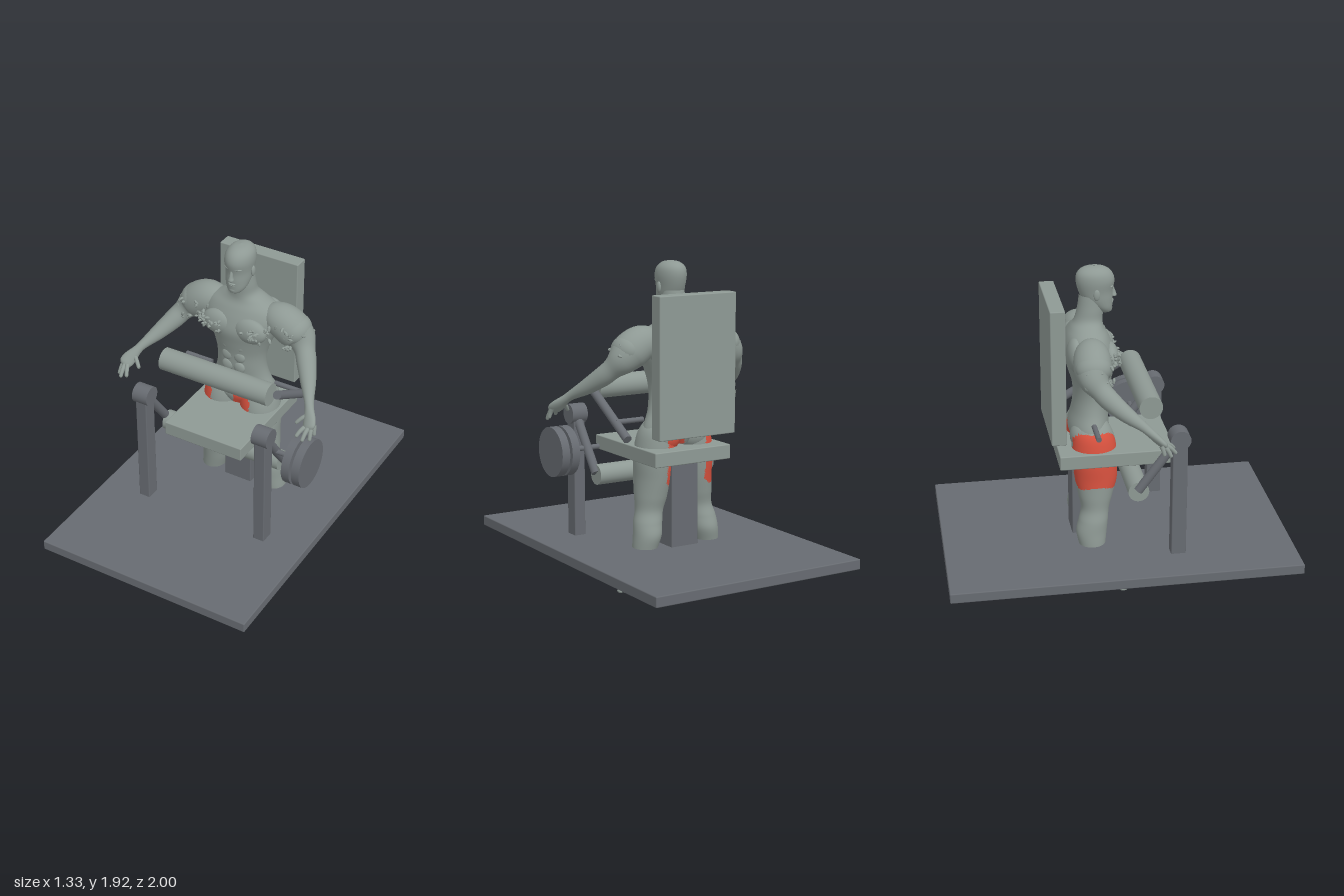
import * as THREE from 'three';
import { RoundedBoxGeometry } from 'three/addons/geometries/RoundedBoxGeometry.js';

const V = (x, y, z) => new THREE.Vector3(x, y, z);

function material(name, color) {
  const m = new THREE.MeshStandardMaterial({ color });
  m.name = name;
  return m;
}

// Highlighted thigh muscle: two bands with rounded tops and bottoms
const BANDS = [[-0.25, -0.14], [-0.005, 0.112]];
function isMuscle(x, y) {
  return BANDS.some(([lo, hi]) => {
    const d = x - (lo + hi) / 2;
    return x > lo && x < hi && y < 0.99 - 14 * d * d && y > 0.65 + 10 * d * d;
  });
}

// Sort triangles into a skin group and a muscle group
function splitGroups(geo) {
  const p = geo.attributes.position, idx = geo.index.array, sets = [[], []];
  for (let i = 0; i < idx.length; i += 3) {
    const t = [idx[i], idx[i + 1], idx[i + 2]];
    const x = t.reduce((s, k) => s + p.getX(k), 0) / 3;
    const y = t.reduce((s, k) => s + p.getY(k), 0) / 3;
    sets[isMuscle(x, y) ? 1 : 0].push(...t);
  }
  geo.setIndex([...sets[0], ...sets[1]]);
  geo.addGroup(0, sets[0].length, 0);
  geo.addGroup(sets[0].length, sets[1].length, 1);
  return geo;
}

// Smooth skin through elliptical sections [x, y, z, ra, rb]; rb lies along ref
function loft(sections, { ref = V(0, 0, 1), axis = null, steps = 5, sides = 28 } = {}) {
  const path = new THREE.CatmullRomCurve3(sections.map(s => V(s[0], s[1], s[2])), false, 'catmullrom');
  const radii = new THREE.CatmullRomCurve3(sections.map(s => V(s[3], s[4] ?? s[3], 0)), false, 'catmullrom');
  const n = (sections.length - 1) * steps, pos = [], idx = [];
  for (let i = 0; i <= n; i++) {
    const c = path.getPoint(i / n), r = radii.getPoint(i / n);
    const t = axis ?? path.getTangent(i / n);
    const v = ref.clone().addScaledVector(t, -ref.dot(t)).normalize();
    const u = t.clone().cross(v);
    for (let j = 0; j < sides; j++) {
      const a = j / sides * Math.PI * 2;
      const q = c.clone().addScaledVector(u, r.x * Math.cos(a)).addScaledVector(v, r.y * Math.sin(a));
      pos.push(q.x, q.y, q.z);
      if (i === n) continue;
      const A = i * sides + j, B = i * sides + (j + 1) % sides;
      idx.push(A, A + sides, B, B, A + sides, B + sides);
    }
  }
  const geo = new THREE.BufferGeometry();
  geo.setAttribute('position', new THREE.Float32BufferAttribute(pos, 3));
  geo.setIndex(idx);
  geo.computeVertexNormals();
  return geo;
}

export function createModel() {
  const model = new THREE.Group();
  const pad = material('pad and skin grey', 0x8e9994);
  const metal = material('dark metal', 0x676b71);
  const red = material('muscle red', 0xd9523f);

  const machine = new THREE.Group(), figure = new THREE.Group();
  machine.name = 'machine';
  figure.name = 'figure';
  model.add(machine, figure);

  function add(group, name, geo, mat) {
    const m = new THREE.Mesh(geo, mat);
    m.name = name;
    group.add(m);
    return m;
  }
  // Box from its low and high corners
  function box(name, a, b, mat) {
    const s = b.map((v, i) => v - a[i]);
    add(machine, name, new RoundedBoxGeometry(s[0], s[1], s[2], 2, 0.006), mat)
      .position.set(...a.map((v, i) => v + s[i] / 2));
  }
  // Cylinder between two points
  function rod(name, a, b, r, mat) {
    const p = V(...a), d = V(...b).sub(p);
    const m = add(machine, name, new THREE.CylinderGeometry(r, r, d.length(), 40), mat);
    m.position.copy(p).addScaledVector(d, 0.5);
    m.quaternion.setFromUnitVectors(V(0, 1, 0), d.normalize());
  }
  const skin = (name, geo) => add(figure, name, splitGroups(geo), [pad, red]);
  const UP = { axis: V(0, 1, 0) };
  function blob(name, c, r) {
    const g = new THREE.SphereGeometry(1, 28, 20).scale(...r).translate(...c);
    skin(name, g);
  }

  // Frame and pads
  box('platform', [-0.665, 0.25, -1], [0.665, 0.31, 1], metal);
  box('seatPost', [-0.088, 0.3, -0.243], [0.088, 0.81, -0.068], metal);
  box('seat', [-0.25, 0.803, -0.33], [0.25, 0.887, 0.33], pad);
  box('backrest', [-0.25, 0.96, -0.375], [0.25, 1.757, -0.29], pad);
  rod('upperRoller', [-0.345, 1.198, 0.168], [0.345, 1.198, 0.168], 0.066, pad);
  rod('lowerRoller', [-0.385, 0.705, 0.095], [0.385, 0.705, 0.095], 0.059, pad);
  rod('upperArm', [0.378, 1.2, 0.155], [0.378, 0.965, -0.245], 0.025, metal);
  for (const s of [-1, 1]) {
    box('post', [s * 0.388 - 0.035, 0.3, 0.278], [s * 0.388 + 0.035, 1.0, 0.364], metal);
    rod('pivotHead', [s * 0.34, 1.027, 0.32], [s * 0.437, 1.027, 0.32], 0.058, metal);
    rod('lowerArm', [s * 0.388, 1.02, 0.315], [s * 0.388, 0.715, 0.09], 0.026, metal);
    rod('handle', [s * 0.21, 1.045, -0.13], [s * 0.385, 1.045, -0.13], 0.015, metal);
  }

  // Weight plates
  rod('weightAxle', [0.31, 0.845, 0.195], [0.615, 0.845, 0.195], 0.015, metal);
  for (const x of [0.51, 0.574]) rod('weightPlate', [x, 0.845, 0.195], [x + 0.048, 0.845, 0.195], 0.143, metal);

  // Torso and neck
  skin('torso', loft([
    [0, 0.9, -0.125, 0.08, 0.1], [0, 0.95, -0.13, 0.195, 0.118], [0, 1.0, -0.135, 0.198, 0.115],
    [0, 1.08, -0.125, 0.165, 0.105], [0, 1.16, -0.115, 0.15, 0.105], [0, 1.24, -0.115, 0.155, 0.11],
    [0, 1.32, -0.12, 0.18, 0.128], [0, 1.4, -0.125, 0.215, 0.145], [0, 1.47, -0.135, 0.24, 0.138],
    [0, 1.53, -0.14, 0.215, 0.118], [0, 1.575, -0.14, 0.14, 0.095], [0, 1.615, -0.13, 0.085, 0.08],
    [0, 1.68, -0.118, 0.073, 0.074], [0, 1.76, -0.11, 0.065, 0.07]], { ...UP, sides: 48 }));

  // Head and face
  skin('head', loft([
    [0, 1.65, -0.035, 0.004, 0.004], [0, 1.657, -0.035, 0.034, 0.035], [0, 1.685, -0.05, 0.058, 0.055],
    [0, 1.73, -0.075, 0.071, 0.083], [0, 1.78, -0.088, 0.076, 0.096], [0, 1.84, -0.09, 0.082, 0.108],
    [0, 1.885, -0.094, 0.073, 0.096], [0, 1.913, -0.096, 0.044, 0.06], [0, 1.923, -0.096, 0.003, 0.003]], UP));
  skin('nose', loft([
    [0, 1.738, 0.012, 0.002, 0.002], [0, 1.744, 0.014, 0.017, 0.016], [0, 1.765, 0.01, 0.011, 0.015],
    [0, 1.8, 0.004, 0.008, 0.008]], UP));
  blob('brow', [0, 1.81, -0.01], [0.055, 0.012, 0.022]);
  blob('upperLip', [0, 1.718, 0.002], [0.024, 0.006, 0.012]);
  blob('lowerLip', [0, 1.708, 0], [0.021, 0.007, 0.011]);
  blob('chin', [0, 1.674, -0.012], [0.026, 0.018, 0.018]);

  // Torn muscle fibres on chest and arms
  let seed = 7;
  const rnd = () => (seed = (seed * 16807) % 2147483647) / 2147483647 - 0.5;
  function fibres(c, spread, count) {
    for (let i = 0; i < count; i++) {
      const m = add(figure, 'muscleFibre', new THREE.IcosahedronGeometry(0.015, 0), pad);
      m.position.set(c[0] + rnd() * spread[0], c[1] + rnd() * spread[1], c[2] + rnd() * spread[2]);
      m.scale.set(1.2 + rnd(), 0.6, 0.7);
      m.rotation.set(rnd() * 3, rnd() * 3, rnd() * 3);
    }
  }

  for (const s of [-1, 1]) {
    const side = list => list.map(([x, ...rest]) => [s * x, ...rest]);

    // Body masses
    blob('ear', [s * 0.08, 1.775, -0.092], [0.01, 0.032, 0.018]);
    blob('chestMuscle', [s * 0.098, 1.425, -0.025], [0.105, 0.078, 0.05]);
    blob('shoulderBlade', [s * 0.12, 1.45, -0.215], [0.1, 0.1, 0.055]);
    blob('buttock', [s * 0.095, 0.945, -0.168], [0.1, 0.095, 0.085]);
    for (const y of [1.3, 1.23, 1.16]) blob('abdominal', [s * 0.038, y, -0.016], [0.036, 0.036, 0.016]);

    // Leg
    skin('leg', loft(side([
      [0.222, 0.05, -0.14, 0.038, 0.05], [0.222, 0.12, -0.14, 0.04, 0.048], [0.222, 0.2, -0.142, 0.054, 0.057],
      [0.208, 0.3, -0.145, 0.07, 0.075], [0.192, 0.38, -0.147, 0.08, 0.088], [0.182, 0.45, -0.135, 0.082, 0.085],
      [0.165, 0.52, -0.122, 0.081, 0.081], [0.15, 0.6, -0.117, 0.094, 0.1], [0.135, 0.7, -0.112, 0.106, 0.122],
      [0.128, 0.8, -0.118, 0.115, 0.128], [0.118, 0.9, -0.12, 0.116, 0.127], [0.11, 0.98, -0.125, 0.1, 0.11],
      [0.1, 1.05, -0.125, 0.05, 0.07]]), { ...UP, steps: 10, sides: 56 }));

    // Foot and toes
    skin('foot', loft(side([
      [0.222, 0.04, -0.203, 0.004, 0.004], [0.222, 0.042, -0.192, 0.032, 0.036], [0.222, 0.05, -0.15, 0.04, 0.049],
      [0.223, 0.053, -0.08, 0.042, 0.052], [0.226, 0.036, -0.01, 0.049, 0.035], [0.228, 0.024, 0.035, 0.05, 0.022],
      [0.228, 0.018, 0.06, 0.03, 0.01]]), { ref: V(0, 1, 0), axis: V(0, 0, 1) }));
    for (let i = 0; i < 5; i++) {
      const r = i ? 0.011 : 0.016;
      blob('toe', [s * (0.19 + i * 0.02), r + 0.002, 0.062 - i * 0.008], [r, r, 0.024]);
    }

    // Arm with forearm and palm
    skin('arm', loft(side([
      [0.14, 1.49, -0.14, 0.06], [0.2, 1.485, -0.143, 0.092], [0.26, 1.465, -0.147, 0.104],
      [0.315, 1.428, -0.15, 0.103], [0.36, 1.388, -0.148, 0.084], [0.398, 1.345, -0.12, 0.06],
      [0.435, 1.298, -0.075, 0.056], [0.49, 1.235, 0.005, 0.044], [0.54, 1.183, 0.085, 0.028],
      [0.562, 1.155, 0.12, 0.027, 0.024], [0.588, 1.115, 0.165, 0.04, 0.022], [0.602, 1.09, 0.195, 0.036, 0.018],
      [0.606, 1.08, 0.205, 0.01, 0.006]])));
    blob('shoulderMuscle', [s * 0.325, 1.445, -0.15], [0.085, 0.085, 0.1]);

    // Fingers and thumb
    const roots = [[0.622, 1.1, 0.172], [0.614, 1.092, 0.19], [0.599, 1.088, 0.203], [0.58, 1.09, 0.205], [0.568, 1.13, 0.145]];
    const tips = [[0.632, 1.042, 0.19], [0.624, 1.028, 0.23], [0.593, 1.033, 0.262], [0.553, 1.048, 0.258], [0.512, 1.078, 0.185]];
    roots.forEach((a, i) => {
      const b = tips[i], mid = a.map((v, k) => (v + b[k]) / 2 + (k === 1 ? 0.006 : 0));
      const near = a.map((v, k) => v + (b[k] - v) * 0.92);
      skin(i < 4 ? 'finger' : 'thumb', loft(side([[...a, 0.014], [...mid, 0.012], [...near, 0.01], [...b, 0.002]]),
        { ref: V(s, 0, 0), sides: 12, steps: 4 }));
    });

    fibres([s * 0.12, 1.42, 0.018], [0.12, 0.08, 0.02], 20);
    fibres([s * 0.2, 1.43, -0.03], [0.05, 0.1, 0.05], 12);
    fibres([s * 0.31, 1.42, -0.06], [0.13, 0.14, 0.04], 18);
    fibres([s * 0.385, 1.42, -0.15], [0.05, 0.12, 0.12], 14);
  }
  return model;
}
